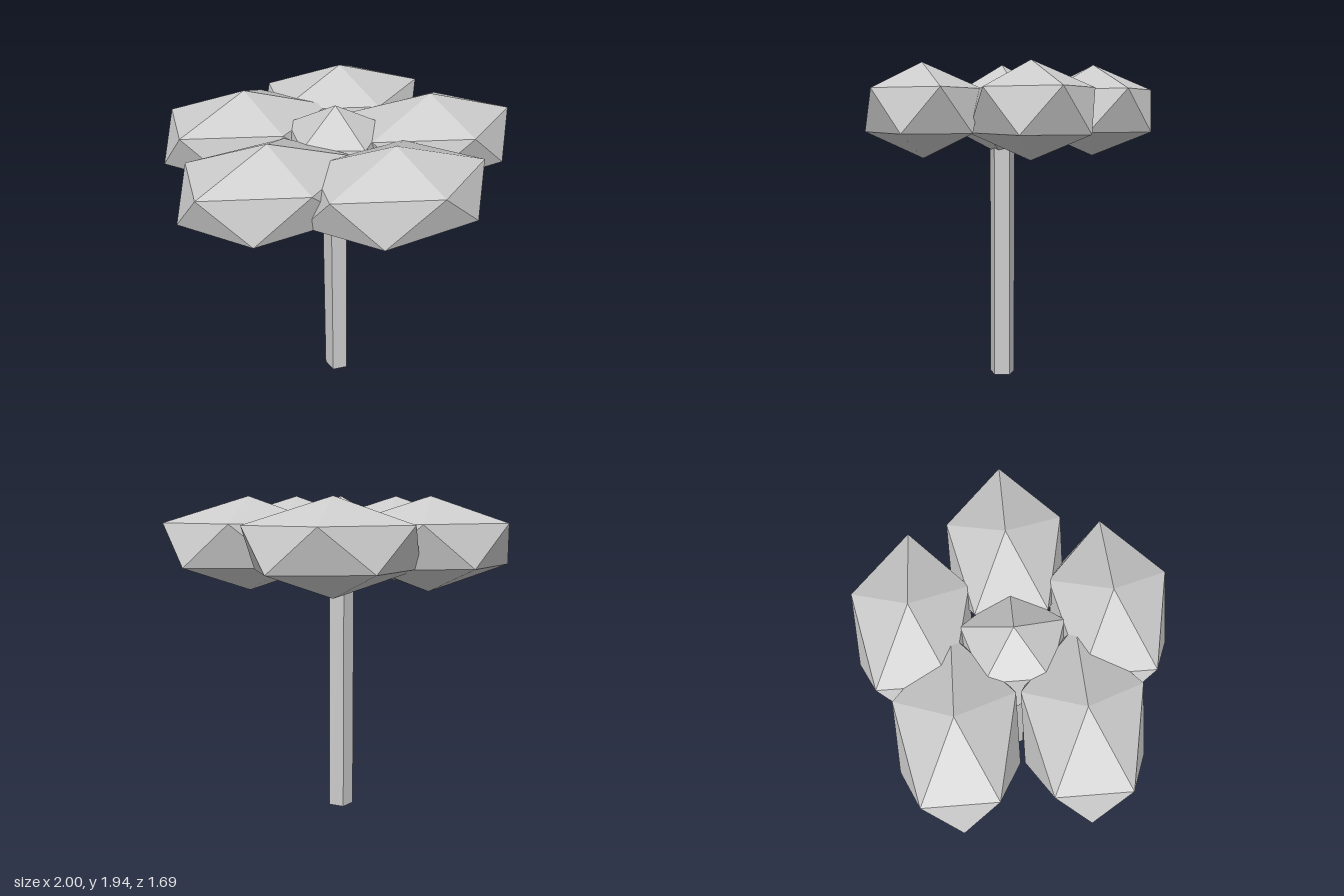
import * as THREE from 'three';

const CENTRE_X = -0.055; // axis of trunk and crown
const CROWN_Y = 1.67;

export function createModel() {
  const model = new THREE.Group();
  model.name = 'tree';
  const material = new THREE.MeshStandardMaterial({ color: 0xcccccc, flatShading: true });

  // Icosahedron standing on one vertex, with an upper-ring vertex towards +x
  const blob = (name, rx, ry, rz, x, z) => {
    const geometry = new THREE.IcosahedronGeometry(1, 0);
    geometry.rotateZ(-Math.atan(2 / (1 + Math.sqrt(5))));
    geometry.scale(rx, ry, rz);
    const mesh = new THREE.Mesh(geometry, material);
    mesh.name = name;
    mesh.position.set(x, CROWN_Y, z);
    model.add(mesh);
  };

  // Five-sided trunk with a flat side to the front
  const trunkHeight = 1.67;
  const trunkGeometry = new THREE.CylinderGeometry(0.08, 0.08, trunkHeight, 5);
  trunkGeometry.rotateY(Math.PI);
  const trunk = new THREE.Mesh(trunkGeometry, material);
  trunk.name = 'trunk';
  trunk.position.set(CENTRE_X, trunkHeight / 2, 0);
  model.add(trunk);

  // Foliage: a small middle clump ringed by five long ones, all facing the same way
  blob('centreFoliage', 0.324, 0.275, 0.324, CENTRE_X, 0);
  const ringRadius = 0.556;
  for (let i = 0; i < 5; i++) {
    const a = (i / 5) * Math.PI * 2;
    blob(`outerFoliage${i + 1}`, 0.555, 0.275, 0.37,
      CENTRE_X + Math.cos(a) * ringRadius, Math.sin(a) * ringRadius);
  }
  return model;
}
